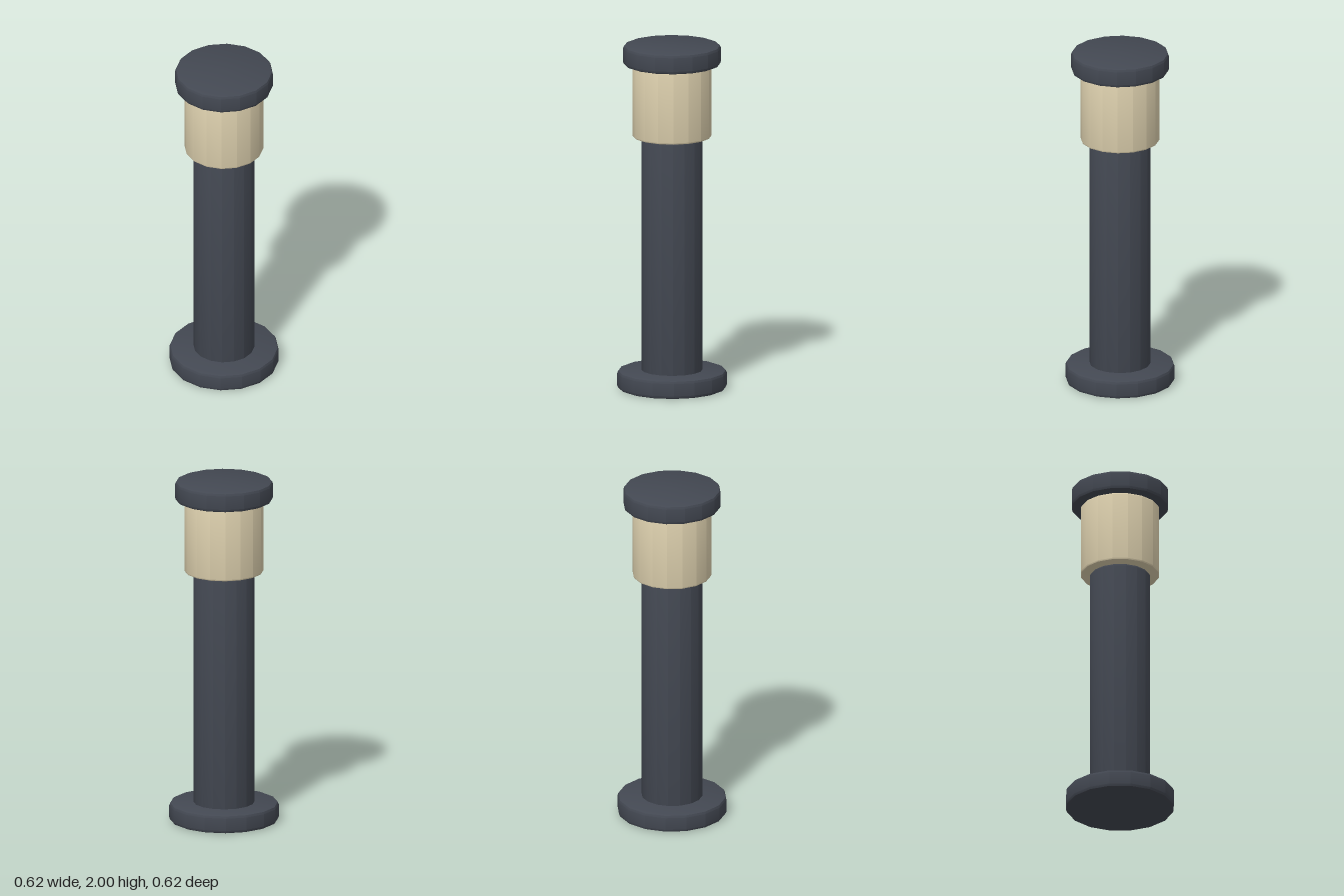
import * as THREE from 'three';
import { toCreasedNormals } from 'three/addons/utils/BufferGeometryUtils.js';

const SIDES = 16;

// Closed disc or column with softly bevelled rims
function bevelledDrum(radius, y0, y1, bevel) {
  const b = bevel, k = bevel * 0.3;
  const profile = [
    [0, y0], [radius - b, y0], [radius - k, y0 + k], [radius, y0 + b],
    [radius, y1 - b], [radius - k, y1 - k], [radius - b, y1], [0, y1],
  ].map(([x, y]) => new THREE.Vector2(x, y));
  return toCreasedNormals(new THREE.LatheGeometry(profile, SIDES), 0.5);
}

export function createModel() {
  const group = new THREE.Group();
  group.name = 'bollardLight';

  const darkMetal = new THREE.MeshStandardMaterial({ color: 0x434852 });
  darkMetal.name = 'dark metal';
  const creamGlass = new THREE.MeshStandardMaterial({ color: 0xdccfad });
  creamGlass.name = 'cream glass';

  // name, radius, bottom, top, bevel, material
  const parts = [
    ['base', 0.312, 0, 0.108, 0.018, darkMetal],
    ['post', 0.174, 0.09, 1.465, 0.014, darkMetal],
    ['lampGlass', 0.226, 1.465, 1.885, 0.01, creamGlass],
    ['cap', 0.279, 1.885, 2, 0.018, darkMetal],
  ];
  for (const [name, radius, y0, y1, bevel, material] of parts) {
    const mesh = new THREE.Mesh(bevelledDrum(radius, y0, y1, bevel), material);
    mesh.name = name;
    group.add(mesh);
  }
  return group;
}
